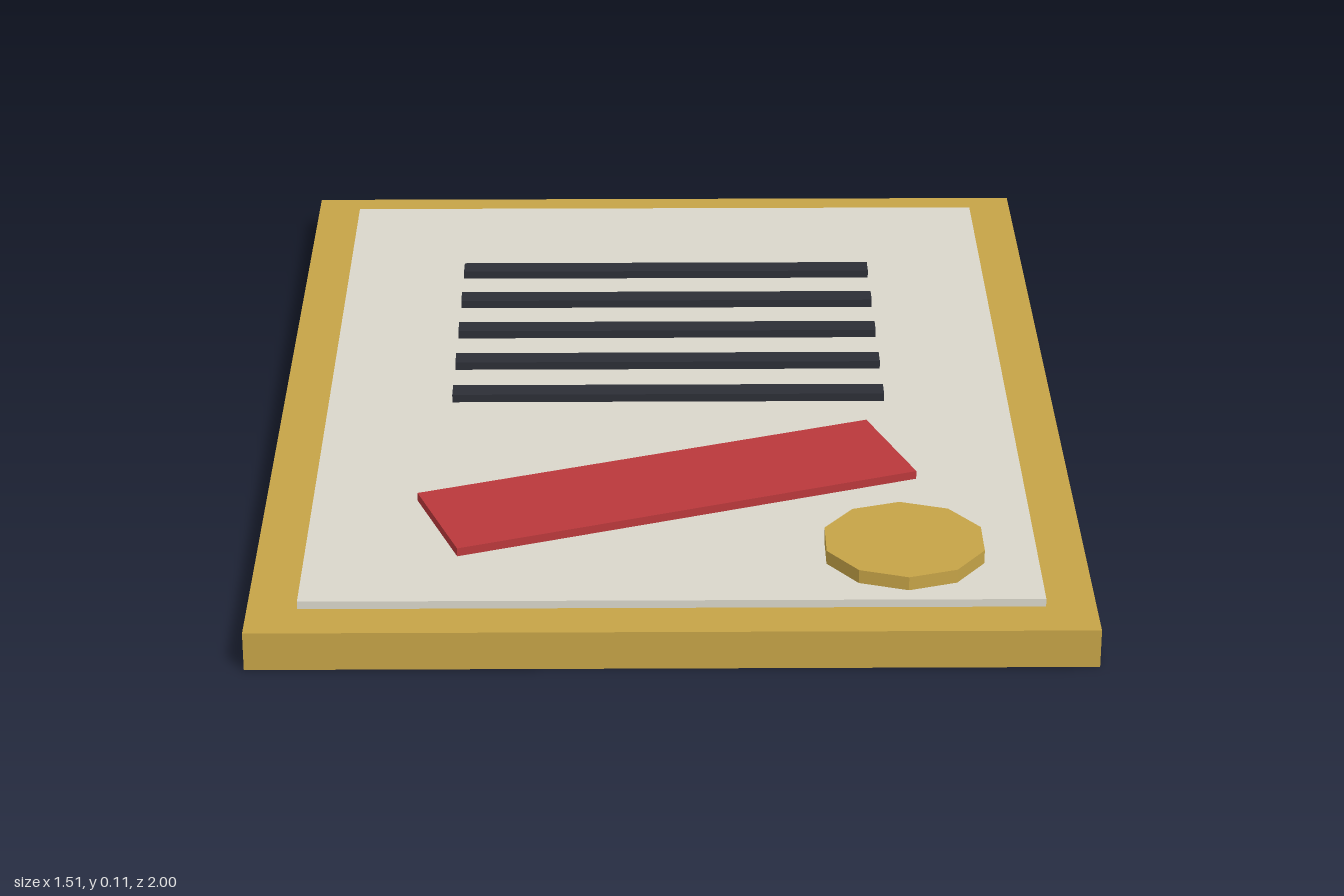
import * as THREE from 'three';

const mat = (color) => new THREE.MeshStandardMaterial({ color, flatShading: true });

export function createModel() {
  const model = new THREE.Group();
  model.name = 'framedDocument';
  const gold = mat(0xc5a347);
  const paper = mat(0xd9d6ca);
  const ink = mat(0x2c2e36);
  const red = mat(0xb9383b);

  // Adds a mesh whose underside sits at height y
  function add(name, geometry, material, x, y, z, height) {
    const mesh = new THREE.Mesh(geometry, material);
    mesh.name = name;
    mesh.position.set(x, y + height / 2, z);
    model.add(mesh);
    return mesh;
  }
  const slab = (name, material, w, h, d, x, y, z) =>
    add(name, new THREE.BoxGeometry(w, h, d), material, x, y, z, h);

  // Backing board and the sheet lying on it
  slab('backingBoard', gold, 1.51, 0.073, 2, 0, 0, 0);
  slab('paperSheet', paper, 1.33, 0.015, 1.82, 0, 0.073, 0);

  // Five raised lines of writing
  for (let i = 0; i < 5; i++) {
    slab(`textLine${i + 1}`, ink, 0.846, 0.016, 0.045, 0, 0.088, -0.549 + i * 0.152);
  }

  // Slanted ribbon, held just above the sheet
  const ribbon = slab('ribbon', red, 0.905, 0.016, 0.24, -0.003, 0.095, 0.483);
  ribbon.rotation.y = 0.35;

  // Ten-sided seal
  add('seal', new THREE.CylinderGeometry(0.15, 0.15, 0.026, 10), gold, 0.423, 0.088, 0.725, 0.026);

  return model;
}
